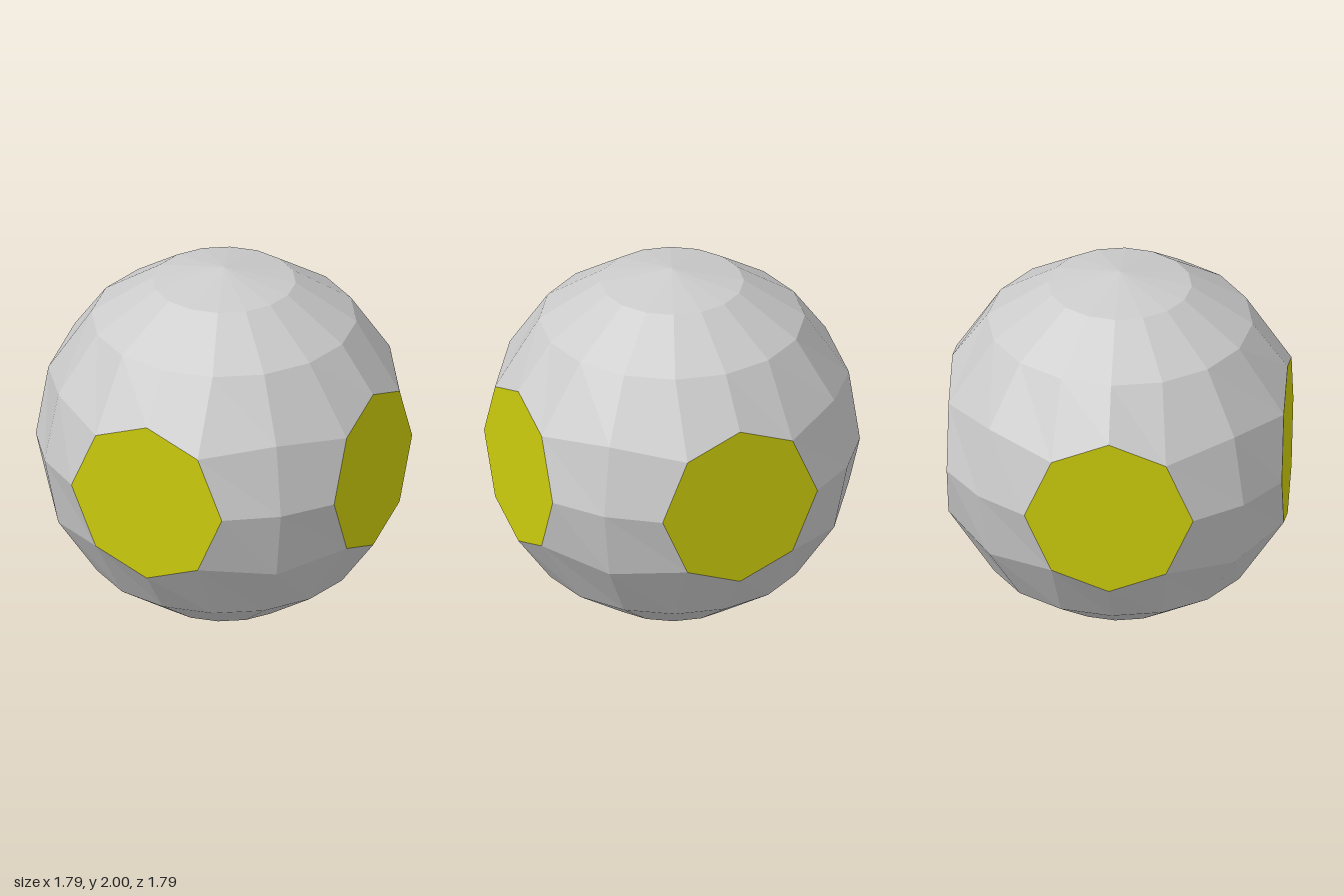
import * as THREE from 'three';

const FACE = 0.893;                          // distance of the flat panels from the centre
const RIM = Math.sqrt(1 - FACE * FACE);      // panel radius, keeps corners on the unit sphere

// Flatten the cap round each horizontal axis into an eight-sided panel
function flattenCaps(p) {
  for (const [axis, side] of [['x', 'z'], ['z', 'x']]) {
    if (Math.abs(p[axis]) < 0.84 || Math.abs(p.y) > 0.5) continue;
    const r = Math.hypot(p[side], p.y);
    const k = r < 0.01 ? 0 : RIM / r;
    p[axis] = Math.sign(p[axis]) * FACE;
    p[side] *= k;
    p.y *= k;
    break;
  }
  return p;
}

// Which panel a triangle lies in, or the shell
function partOf(tri) {
  const on = (axis, s) => tri.every(p => Math.abs(p[axis] - s * FACE) < 1e-4);
  if (on('z', 1)) return 'frontPanel';
  if (on('z', -1)) return 'backPanel';
  if (on('x', 1)) return 'leftPanel';
  if (on('x', -1)) return 'rightPanel';
  return 'shell';
}

export function createModel() {
  const group = new THREE.Group();
  group.name = 'panelledBall';
  const grey = new THREE.MeshStandardMaterial({ color: 0xcccccc, flatShading: true });
  const yellow = new THREE.MeshStandardMaterial({ color: 0xcccc0d, flatShading: true });

  // Low-poly ball, sorted triangle by triangle into shell and panels
  const ball = new THREE.SphereGeometry(1, 16, 8).toNonIndexed();
  const pos = ball.attributes.position;
  const parts = { shell: [], frontPanel: [], backPanel: [], leftPanel: [], rightPanel: [] };
  for (let i = 0; i < pos.count; i += 3) {
    const tri = [0, 1, 2].map(j => flattenCaps(new THREE.Vector3().fromBufferAttribute(pos, i + j)));
    parts[partOf(tri)].push(...tri);
  }

  for (const [name, points] of Object.entries(parts)) {
    const geometry = new THREE.BufferGeometry().setFromPoints(points);
    geometry.computeVertexNormals();
    const mesh = new THREE.Mesh(geometry, name === 'shell' ? grey : yellow);
    mesh.name = name;
    mesh.position.y = 1;
    group.add(mesh);
  }
  return group;
}
